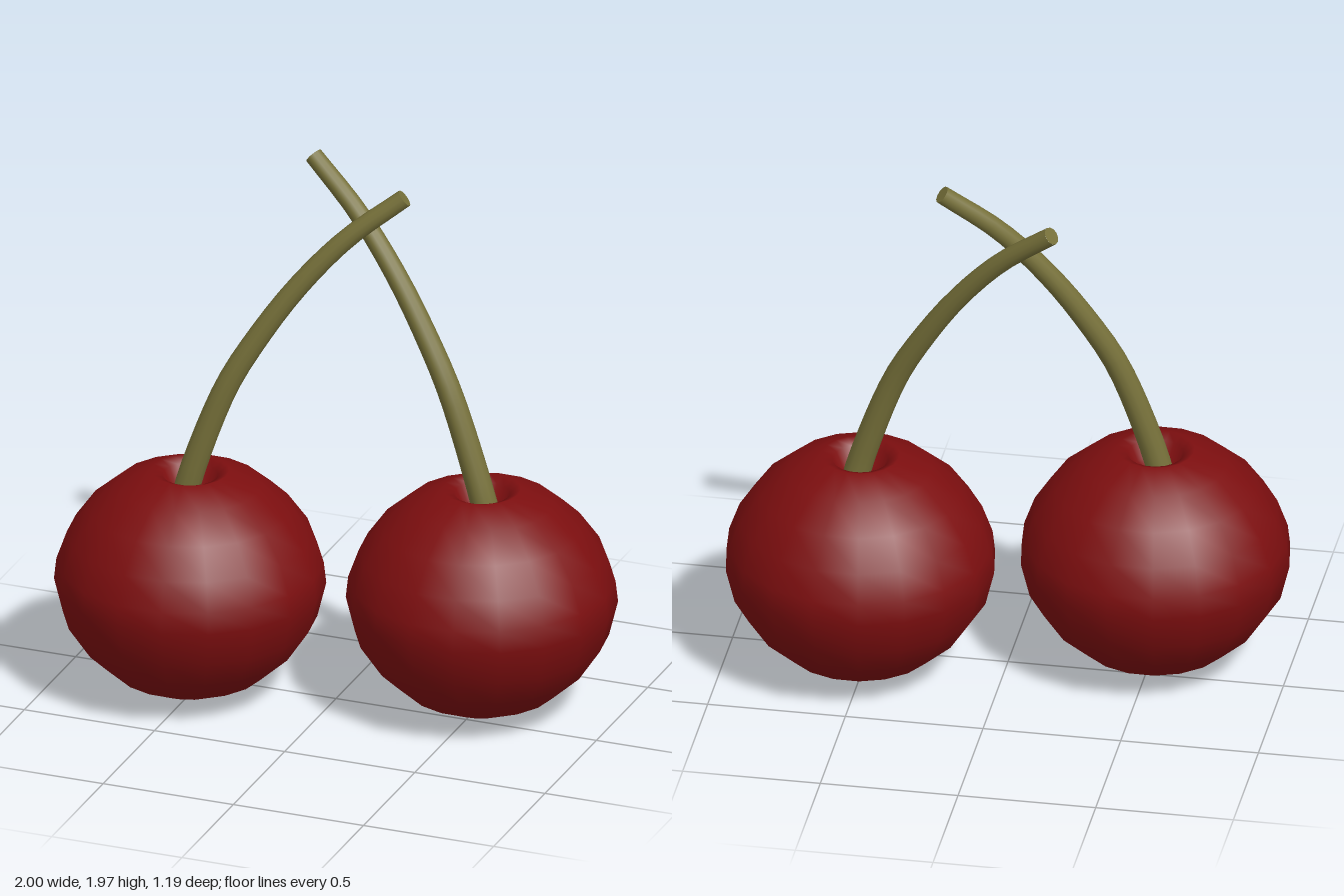
import * as THREE from 'three';

const V = (x, y, z) => new THREE.Vector3(x, y, z);

// Tapered round stem with closed ends, following a curve
function stemGeometry(curve, r0, r1, steps, sides) {
  const geo = new THREE.TubeGeometry(curve, steps, 1, sides, false);
  const pos = geo.attributes.position;
  const p = V(0, 0, 0);
  for (let i = 0; i < pos.count; i++) {
    const t = Math.floor(i / (sides + 1)) / steps;
    const c = curve.getPointAt(t);
    p.fromBufferAttribute(pos, i).sub(c).multiplyScalar(r0 + (r1 - r0) * t).add(c);
    pos.setXYZ(i, p.x, p.y, p.z);
  }
  return geo;
}

export function createModel() {
  const model = new THREE.Group();
  model.name = 'cherryPair';
  const red = new THREE.MeshStandardMaterial({ color: 0x7c0e0f });
  red.name = 'cherryRed';
  const olive = new THREE.MeshStandardMaterial({ color: 0x77713a });
  olive.name = 'stemOlive';

  // Fruit profile from the underside, over the rim and into the dimple
  const profile = [
    [0, 0.004], [0.13, 0.02], [0.27, 0.085], [0.375, 0.18], [0.455, 0.3],
    [0.487, 0.43], [0.478, 0.51], [0.44, 0.615], [0.365, 0.72], [0.26, 0.81],
    [0.14, 0.862], [0.1, 0.845], [0.075, 0.79], [0, 0.75],
  ].map(([r, y]) => new THREE.Vector2(r, y));
  const fruitGeo = new THREE.LatheGeometry(profile, 18, 0.16);

  // side -1 is the right cherry, +1 the left; each stem leans over the other
  for (const side of [-1, 1]) {
    const name = side < 0 ? 'right' : 'left';
    const z = -0.115 * side;
    const cherry = new THREE.Group();
    cherry.name = name + 'Cherry';
    cherry.position.set(0.515 * side, 0, z);

    const fruit = new THREE.Mesh(fruitGeo, red);
    fruit.name = name + 'Fruit';
    cherry.add(fruit);

    const curve = new THREE.CatmullRomCurve3([
      V(-0.025, 0.74, 0), V(0.007, 0.86, 0), V(0.13, 1.2, -0.025), V(0.24, 1.4, -0.06),
      V(0.375, 1.6, -0.105), V(0.54, 1.79, -0.16), V(0.735, 1.952, -0.225),
    ].map((p) => V(-p.x * side, p.y, p.z)));
    const stem = new THREE.Mesh(stemGeometry(curve, 0.049, 0.033, 20, 12), olive);
    stem.name = name + 'Stem';
    cherry.add(stem);

    // Cut end of the stem
    const cap = new THREE.Mesh(new THREE.CircleGeometry(0.033, 12), olive);
    cap.name = name + 'StemTip';
    cap.position.copy(curve.getPointAt(1));
    cap.quaternion.setFromUnitVectors(V(0, 0, 1), curve.getTangentAt(1));
    cherry.add(cap);

    model.add(cherry);
  }
  return model;
}
